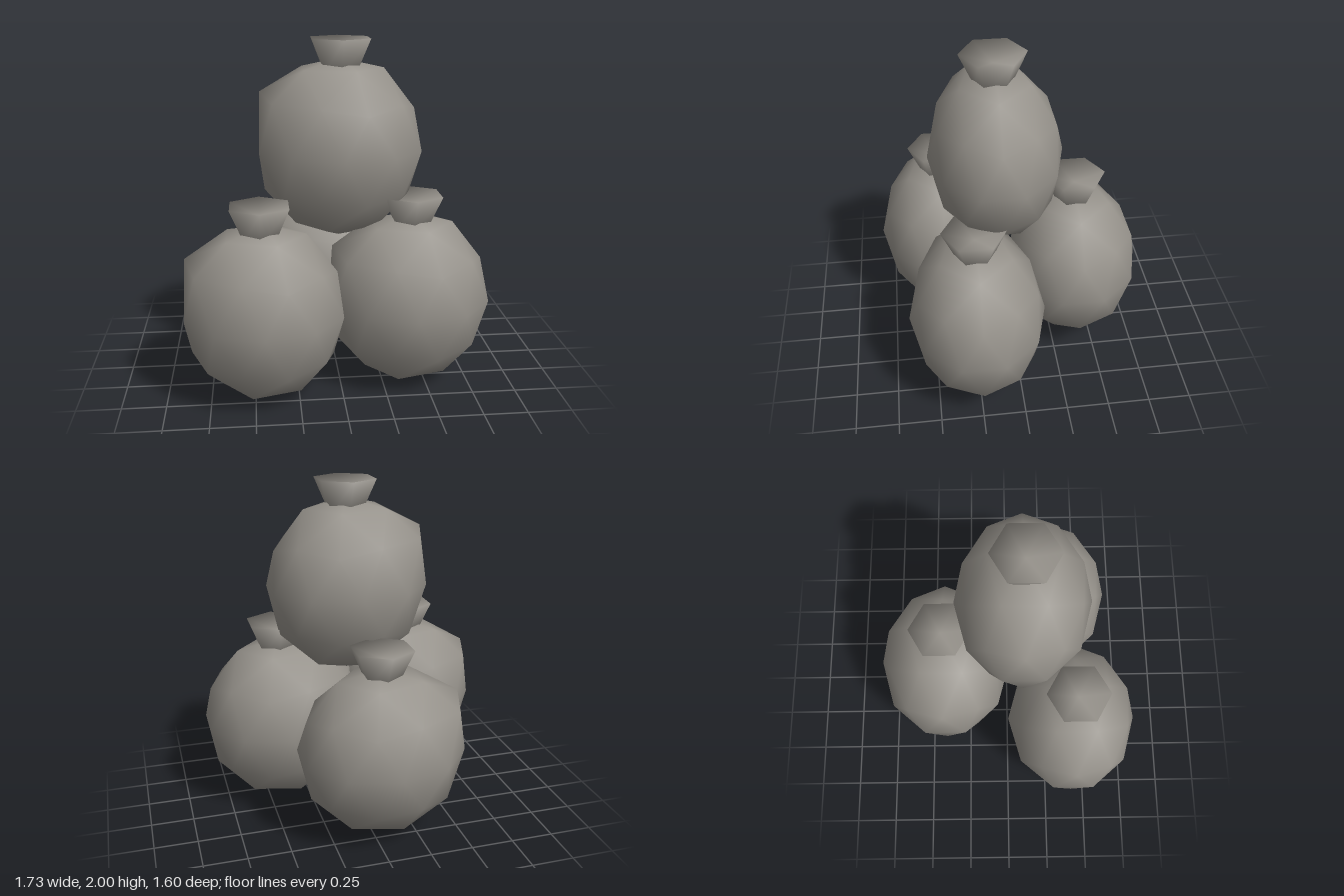
import * as THREE from 'three';
import { mergeVertices } from 'three/addons/utils/BufferGeometryUtils.js';

// Share vertices so that shading runs smoothly over the low-poly form
function smooth(geometry) {
  geometry.deleteAttribute('normal');
  geometry.deleteAttribute('uv');
  const merged = mergeVertices(geometry, 1e-4);
  merged.clearGroups();
  merged.computeVertexNormals();
  return merged;
}

// Unit sack body: coarse sphere standing on a pole, full shoulders, one side bulging
function bodyGeometry() {
  const g = new THREE.IcosahedronGeometry(1, 1);
  g.rotateZ(-Math.atan(2 / (1 + Math.sqrt(5))));
  const p = g.attributes.position;
  for (let i = 0; i < p.count; i++) {
    const x = p.getX(i), y = p.getY(i);
    if (y > 0.4 && y < 0.6 && x < -0.3) {
      p.setX(i, x * 1.1);
      p.setY(i, y + 0.12);
    } else if (y > 0.8 && y < 0.9) {
      p.setY(i, y + 0.04);
    }
  }
  return g;
}

// Gathered six-sided neck with a dished mouth; its rim is at y = 0
function neckGeometry() {
  const height = 0.19;
  const g = new THREE.CylinderGeometry(0.185, 0.1, height, 6);
  g.translate(0, -height / 2, 0);
  const p = g.attributes.position;
  for (let i = 0; i < p.count; i++) {
    if (Math.hypot(p.getX(i), p.getZ(i)) < 0.01 && p.getY(i) > -0.01) p.setY(i, -0.06);
  }
  return smooth(g);
}

export function createModel() {
  const model = new THREE.Group();
  model.name = 'sackPile';
  const cloth = new THREE.MeshStandardMaterial({ color: 0x96928b });
  cloth.name = 'grey cloth';
  const neckShape = neckGeometry();

  // Three sacks on the ground and one on top: centre, radii, rim height
  const sacks = [
    { name: 'rightSack', at: [-0.44, 0.515, 0.4], size: [0.46, 0.51, 0.395], neck: [-0.455, 1.137, 0.405] },
    { name: 'leftSack', at: [0.4, 0.515, 0.245], size: [0.475, 0.51, 0.4], neck: [0.41, 1.137, 0.25] },
    { name: 'backSack', at: [-0.06, 0.52, -0.39], size: [0.49, 0.495, 0.41], neck: [-0.06, 1.137, -0.39] },
    { name: 'topSack', at: [0.01, 1.375, 0.09], size: [0.48, 0.515, 0.385], neck: [0.015, 2, 0.095] },
  ];
  for (const s of sacks) {
    const sack = new THREE.Group();
    sack.name = s.name;
    const body = new THREE.Mesh(smooth(bodyGeometry().scale(...s.size)), cloth);
    body.name = 'sackBody';
    body.position.set(...s.at);
    const neck = new THREE.Mesh(neckShape, cloth);
    neck.name = 'sackNeck';
    neck.position.set(...s.neck);
    sack.add(body, neck);
    model.add(sack);
  }
  return model;
}
